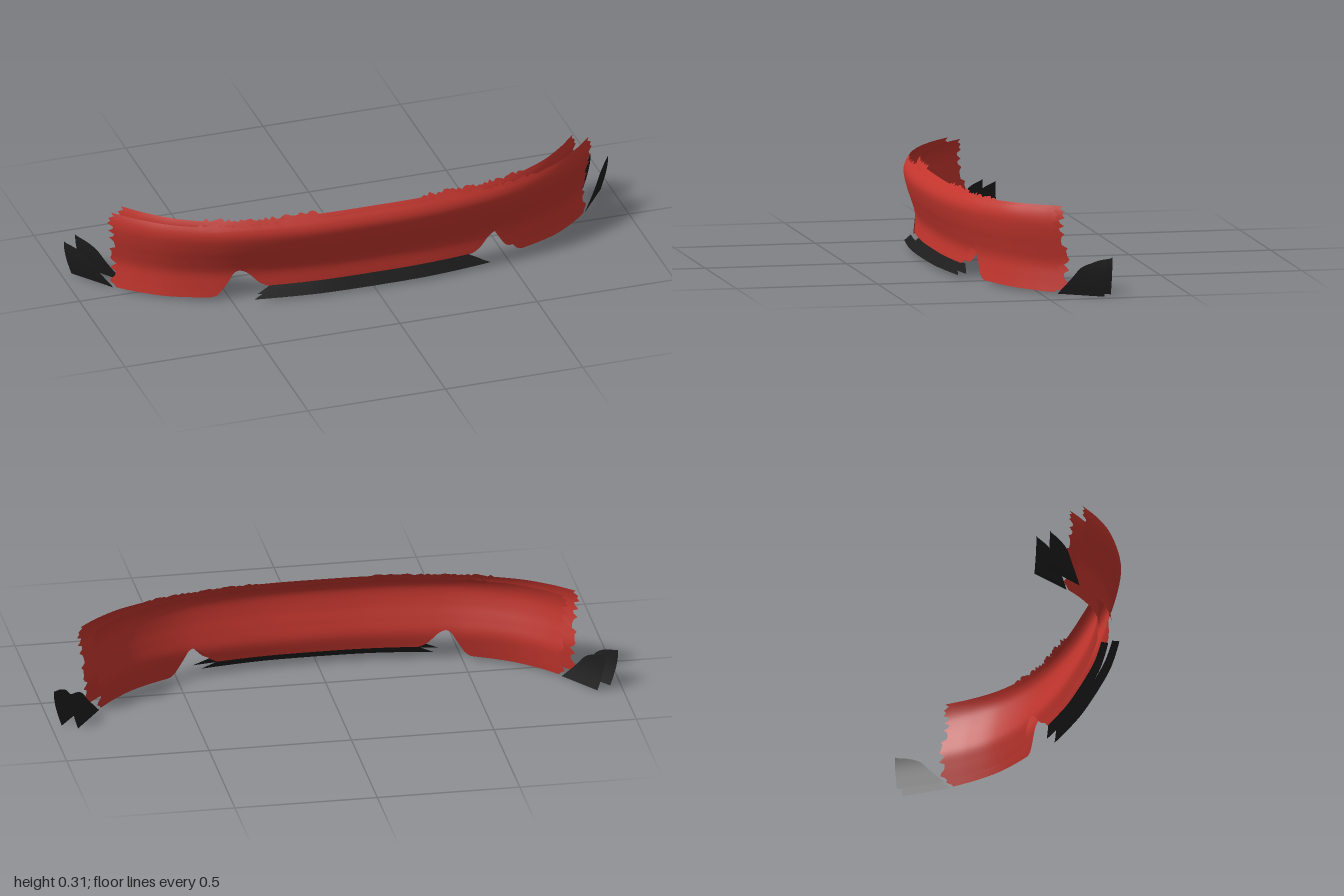
import * as THREE from 'three';
import { ParametricGeometry } from 'three/addons/geometries/ParametricGeometry.js';

// smooth or straight lookup table through a few [key, value] pairs
function table(pairs, smooth = false) {
  const v = pairs.map(p => new THREE.Vector2(p[0], p[1]));
  const pts = smooth ? new THREE.SplineCurve(v).getPoints(120) : v;
  return k => {
    if (k <= pts[0].x) return pts[0].y;
    for (let i = 1; i < pts.length; i++) {
      const a = pts[i - 1], b = pts[i];
      if (k <= b.x) return a.y + (b.y - a.y) * (k - a.x) / (b.x - a.x || 1);
    }
    return pts[pts.length - 1].y;
  };
}

// repeatable noise from 0 to 1
function noise(i) {
  const s = Math.sin(i * 127.1 + 3.7) * 43758.5453;
  return s - Math.floor(s);
}

// bumper line seen from above, mirrored about x = 0
const half = [[0.2, 0.232], [0.4, 0.208], [0.55, 0.172], [0.7, 0.105], [0.8, 0.03], [0.864, -0.035]];
const plan = new THREE.SplineCurve([
  ...half.slice().reverse().map(([x, z]) => new THREE.Vector2(-x, z)),
  new THREE.Vector2(0, 0.237),
  ...half.map(([x, z]) => new THREE.Vector2(x, z)),
]);

// inset of the skin from the bumper line at each height
const inset = table([[0, 0.03], [0.05, 0.039], [0.1, 0.044], [0.15, 0.029], [0.2, 0.011],
  [0.25, 0], [0.28, 0.01], [0.305, 0.034]], true);
// lower edge with the two arched cut-outs, and upper edge
const lowerEdge = table([[0, 0.045], [0.38, 0.045], [0.41, 0.06], [0.45, 0.1], [0.475, 0.111],
  [0.495, 0.106], [0.55, 0.022], [0.57, 0.012], [0.9, 0.003]]);
const upperEdge = table([[0, 0.296], [0.25, 0.295], [0.5, 0.291], [0.87, 0.3]], true);

function sheet(fn, cols, rows) {
  const g = new ParametricGeometry(fn, cols, rows);
  g.computeVertexNormals();
  return g;
}

function skinGeometry() {
  const cols = 160, rows = 30;
  return sheet((u, v, out) => {
    const p = plan.getPointAt(u), t = plan.getTangentAt(u);
    const ax = Math.abs(p.x), col = Math.round(u * cols), row = Math.round(v * rows);
    let top = upperEdge(ax);
    // torn teeth on the upper edge
    if (row === rows && ax > 0.2 && ax < 0.62) top += 0.011 * noise(col);
    const low = lowerEdge(ax);
    const y = low + (top - low) * v;
    // torn teeth on both ends
    if (col === 0 || col === cols) p.addScaledVector(t, (col ? 1 : -1) * 0.032 * noise(row + 50) ** 1.5);
    const fade = Math.min(1, ax / 0.87) ** 2;
    const d = inset(y) * (1 - (y > 0.25 ? 0.75 : 0.35) * fade);
    out.set(p.x + t.y * d, y, p.y - t.x * d);
  }, cols, rows);
}

// lower lip following the middle of the bumper line
function lipGeometry() {
  const depth = table([[0, 0.237], [0.2, 0.232], [0.4, 0.208], [0.5, 0.187]], true);
  return sheet((u, v, out) => {
    const x = (u * 2 - 1) * (0.43 - 0.06 * v);
    out.set(x, 0.012 + 0.028 * v, depth(Math.abs(x)) - 0.003 - 0.019 * v);
  }, 40, 3);
}

// corner fin behind the end of the skin
function finGeometry() {
  const height = table([[0, 0.001], [0.28, 0.06], [0.46, 0.098], [0.7, 0.118], [0.95, 0.128], [1, 0.132]], true);
  return sheet((u, v, out) => {
    const y = height(u) * v;
    const lean = 0.028 * Math.sin(Math.min(1, y / 0.13) * Math.PI / 2);
    out.set(0.858 + 0.105 * u + lean, y, -0.058 - 0.142 * u);
  }, 20, 10);
}

export function createModel() {
  const red = new THREE.MeshStandardMaterial({ color: 0xc2352d, side: THREE.DoubleSide });
  red.name = 'red paint';
  const black = new THREE.MeshStandardMaterial({ color: 0x1d1d1d, side: THREE.DoubleSide });
  black.name = 'black plastic';
  const model = new THREE.Group();
  model.name = 'bumper';

  const skin = skinGeometry(), lip = lipGeometry(), fin = finGeometry();
  const mirroredFin = fin.clone().scale(-1, 1, 1);
  mirroredFin.index.array.reverse();
  mirroredFin.computeVertexNormals();

  // the same shell twice, the inner one narrower and further back
  for (const [name, scaleX, z] of [['outerShell', 1, 0], ['innerShell', 0.947, -0.034]]) {
    const shell = new THREE.Group();
    shell.name = name;
    const add = (label, geometry, material) => {
      const mesh = new THREE.Mesh(geometry, material);
      mesh.name = label;
      shell.add(mesh);
    };
    add('skin', skin, red);
    add('lip', lip, black);
    add('leftFin', fin, black);
    add('rightFin', mirroredFin, black);
    shell.scale.x = scaleX;
    shell.position.z = z;
    model.add(shell);
  }
  return model;
}
